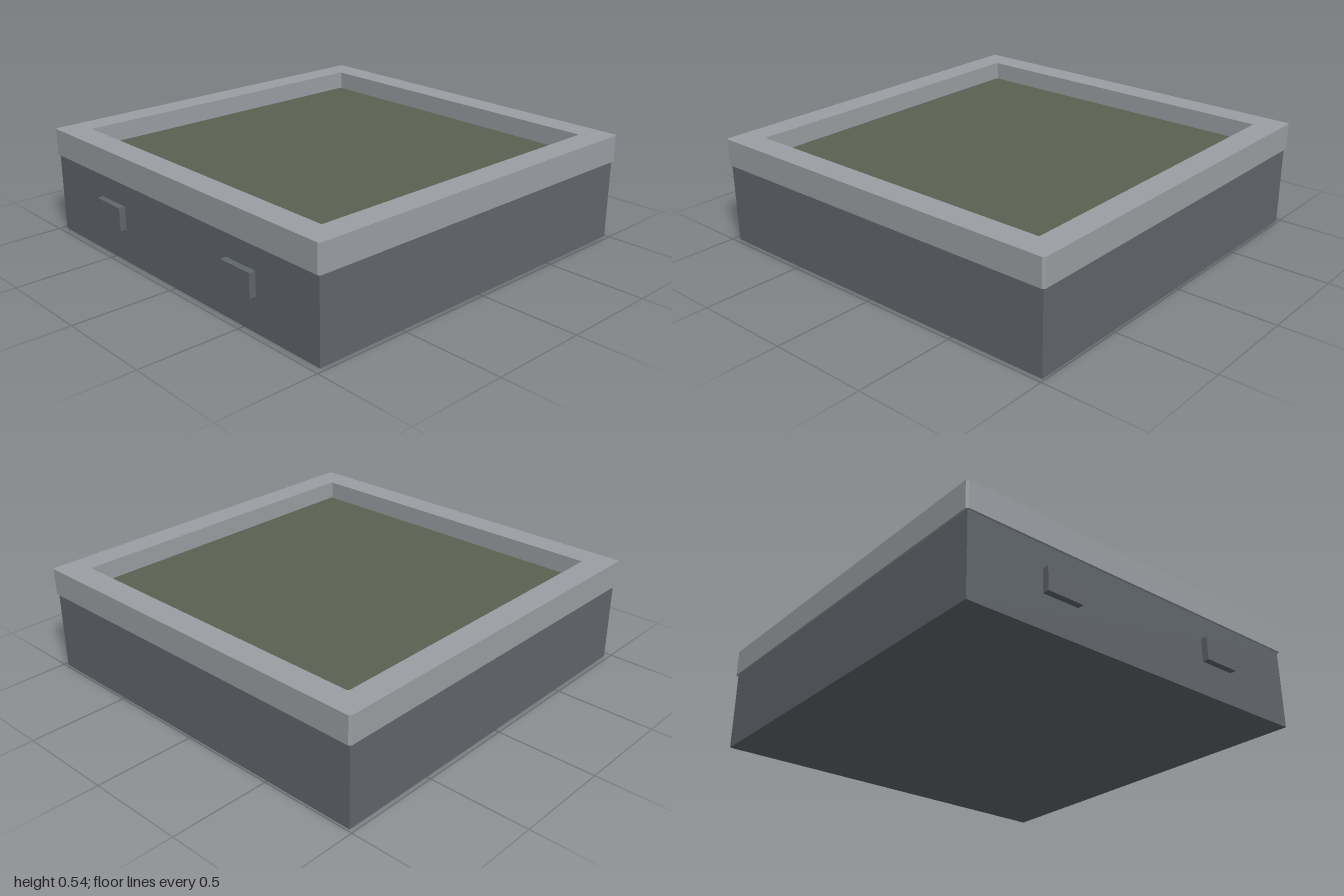
import * as THREE from 'three';

const CZ = -0.011; // centre of the box in z; the front blocks fill the rest

// Square outline with small cut corners
function cutSquare(Type, h, c) {
  const p = [
    [h - c, -h], [h, -h + c], [h, h - c], [h - c, h],
    [-h + c, h], [-h, h - c], [-h, -h + c], [-h + c, -h],
  ];
  return new Type(p.map(([x, y]) => new THREE.Vector2(x, y)));
}

export function createModel() {
  const model = new THREE.Group();
  model.name = 'framedBox';

  const bodyGrey = new THREE.MeshStandardMaterial({ color: 0x61666c });
  bodyGrey.name = 'dark grey';
  const rimGrey = new THREE.MeshStandardMaterial({ color: 0x9a9fa3 });
  rimGrey.name = 'light grey';
  const green = new THREE.MeshStandardMaterial({ color: 0x5b6052 });
  green.name = 'olive green';

  function add(name, geometry, material, x, y, z) {
    const mesh = new THREE.Mesh(geometry, material);
    mesh.name = name;
    mesh.position.set(x, y, z);
    model.add(mesh);
    return mesh;
  }

  // Main box
  add('body', new THREE.BoxGeometry(1.956, 0.405, 1.956), bodyGrey, 0, 0.2025, CZ);

  // Raised rim with a square opening
  const outline = cutSquare(THREE.Shape, 0.989, 0.01);
  outline.holes.push(cutSquare(THREE.Path, 0.857, 0.006));
  const rimGeometry = new THREE.ExtrudeGeometry(outline, { depth: 0.135, bevelEnabled: false });
  rimGeometry.rotateX(-Math.PI / 2);
  add('rim', rimGeometry, rimGrey, 0, 0.405, CZ);

  // Sunken panel inside the rim
  add('panel', new THREE.BoxGeometry(1.73, 0.045, 1.73), green, 0, 0.4225, CZ);

  // Two small blocks on the front
  for (const side of [-1, 1]) {
    add(side > 0 ? 'leftFrontBlock' : 'rightFrontBlock',
      new THREE.BoxGeometry(0.194, 0.117, 0.04), bodyGrey, side * 0.489, 0.228, 0.98);
  }

  return model;
}
